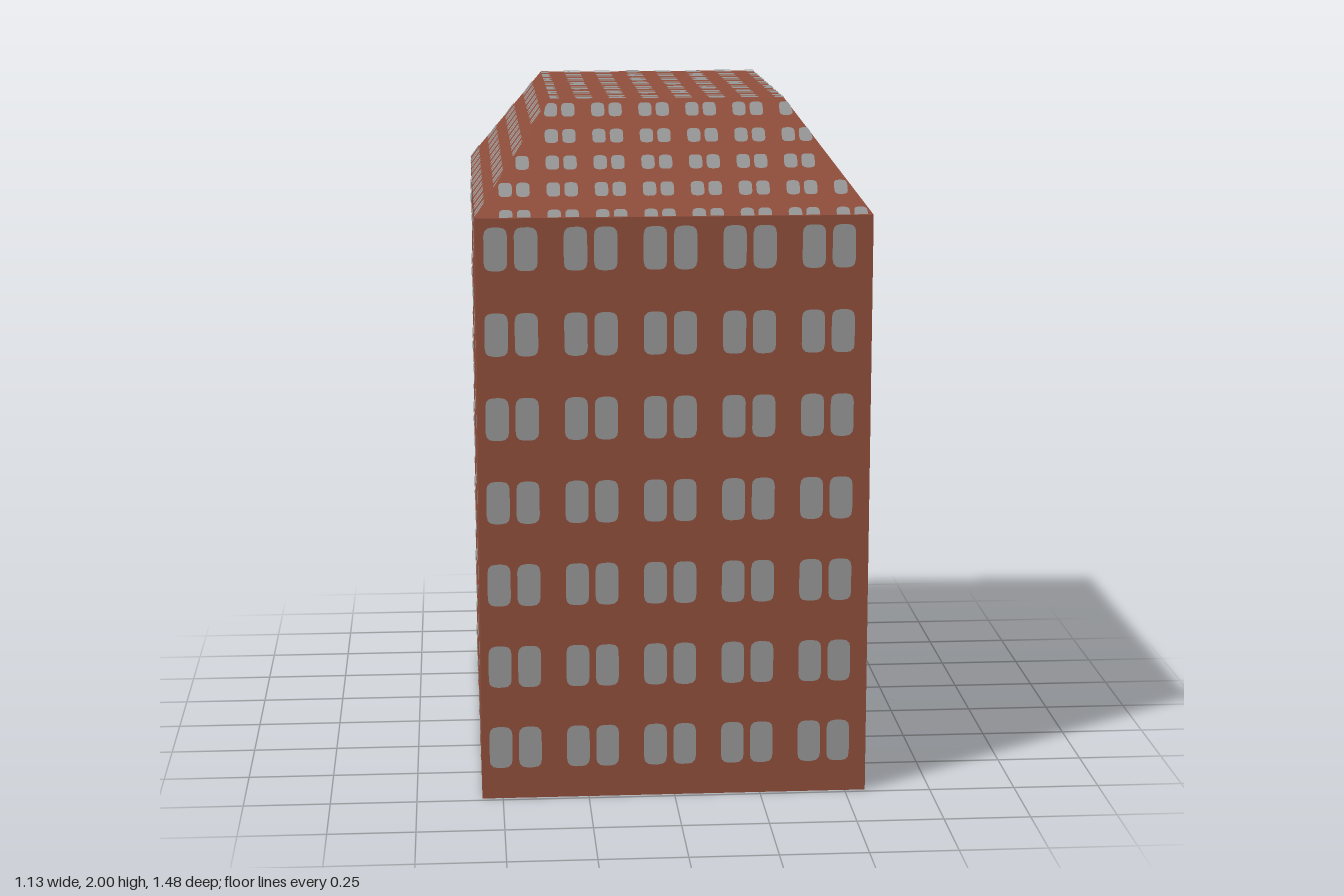
import * as THREE from 'three';
import { mergeGeometries } from 'three/addons/utils/BufferGeometryUtils.js';

const brick = new THREE.MeshStandardMaterial({ color: 0x8f4e3b });
brick.name = 'brick red';
const glass = new THREE.MeshStandardMaterial({ color: 0x969696 });
glass.name = 'window grey';

// Half sizes of the block and of the flat roof top
const HX = 0.56, HZ = 0.735, WALL = 1.7, TX = 0.338, TZ = 0.443, TOP = 2;
const LIFT = 0.003;

const series = (start, step, count) => Array.from({ length: count }, (_, i) => start + i * step);

// Flat window outline with rounded corners
function pane(w, h, r) {
  const s = new THREE.Shape();
  const x = w / 2, y = h / 2;
  s.moveTo(-x + r, -y);
  s.lineTo(x - r, -y);
  s.quadraticCurveTo(x, -y, x, -y + r);
  s.lineTo(x, y - r);
  s.quadraticCurveTo(x, y, x - r, y);
  s.lineTo(-x + r, y);
  s.quadraticCurveTo(-x, y, -x, y - r);
  s.lineTo(-x, -y + r);
  s.quadraticCurveTo(-x, -y, -x + r, -y);
  return new THREE.ShapeGeometry(s, 3);
}

// Grid of paired windows trimmed to a trapezoid standing on v = 0
function windowGrid(name, { low, high, length, cols, gap, rows, w, h, r }) {
  const panes = [];
  const half = (v) => low + (high - low) * (v / length);
  for (const v of rows) for (const c of cols) for (const side of [-1, 1]) {
    const u = c + side * gap / 2;
    if (Math.abs(u) > half(v) + w * 0.3) continue;
    const g = pane(w, h, r);
    g.translate(u, v, LIFT);
    const p = g.attributes.position;
    for (let i = 0; i < p.count; i++) {
      const y = THREE.MathUtils.clamp(p.getY(i), 0, length);
      const lim = half(y);
      p.setXY(i, THREE.MathUtils.clamp(p.getX(i), -lim, lim), y);
    }
    panes.push(g);
  }
  const mesh = new THREE.Mesh(mergeGeometries(panes), glass);
  mesh.name = name;
  return mesh;
}

// Place a grid on the side facing the given turn, leaning back by tilt
function place(mesh, turn, distance, height, tilt) {
  const holder = new THREE.Group();
  holder.name = mesh.name + 'Side';
  holder.rotation.y = turn;
  mesh.position.set(0, height, distance);
  mesh.rotation.x = -tilt;
  holder.add(mesh);
  return holder;
}

export function createModel() {
  const model = new THREE.Group();
  model.name = 'apartmentBlock';

  // Main block
  const walls = new THREE.Mesh(new THREE.BoxGeometry(2 * HX, WALL, 2 * HZ), brick);
  walls.name = 'walls';
  walls.position.y = WALL / 2;
  model.add(walls);

  // Hipped roof with a flat top
  const rise = TOP - WALL;
  const roofGeo = new THREE.BoxGeometry(2 * HX, rise, 2 * HZ);
  const p = roofGeo.attributes.position;
  for (let i = 0; i < p.count; i++) {
    if (p.getY(i) > 0) {
      p.setX(i, Math.sign(p.getX(i)) * TX);
      p.setZ(i, Math.sign(p.getZ(i)) * TZ);
    }
  }
  roofGeo.computeVertexNormals();
  const roof = new THREE.Mesh(roofGeo, brick);
  roof.name = 'roof';
  roof.position.y = WALL + rise / 2;
  model.add(roof);

  const wallRows = series(0.155, 0.243, 7);
  const small = { gap: 0.05, w: 0.038, h: 0.05, r: 0.014 };
  const frontSlope = Math.hypot(rise, HZ - TZ);
  const sideSlope = Math.hypot(rise, HX - TX);

  // Opposite sides repeat after a half turn
  for (const [half, end, flank] of [[0, 'front', 'left'], [Math.PI, 'back', 'right']]) {
    model.add(place(windowGrid(end + 'Windows', {
      low: HX, high: HX, length: WALL, cols: series(-0.462, 0.2243, 5),
      gap: 0.085, rows: wallRows, w: 0.066, h: 0.124, r: 0.024,
    }), half, HZ, 0, 0));
    model.add(place(windowGrid(flank + 'Windows', {
      low: HZ, high: HZ, length: WALL, cols: series(-0.613, 0.2945, 5),
      gap: 0.109, rows: wallRows, w: 0.084, h: 0.124, r: 0.026,
    }), half + Math.PI / 2, HX, 0, 0));

    // Small windows on the roof slopes
    model.add(place(windowGrid(end + 'RoofWindows', {
      ...small, low: HX, high: TX, length: frontSlope,
      cols: series(-0.449, 0.1355, 8), rows: series(0.002, 0.0945, 5),
    }), half, HZ, WALL, Math.atan2(HZ - TZ, rise)));
    model.add(place(windowGrid(flank + 'RoofWindows', {
      ...small, low: HZ, high: TZ, length: sideSlope,
      cols: series(-0.704, 0.1375, 11), rows: series(0.024, 0.0945, 4),
    }), half + Math.PI / 2, HX, WALL, Math.atan2(HX - TX, rise)));
  }

  // Windows on the flat top, paired along the depth
  const skylights = windowGrid('skylights', {
    ...small, low: TZ, high: TZ, length: 2 * TX,
    cols: series(-0.415, 0.1345, 7), rows: series(0.002, 0.096, 8),
  });
  skylights.rotation.set(-Math.PI / 2, 0, -Math.PI / 2);
  skylights.position.set(-TX, TOP, 0);
  model.add(skylights);

  return model;
}
